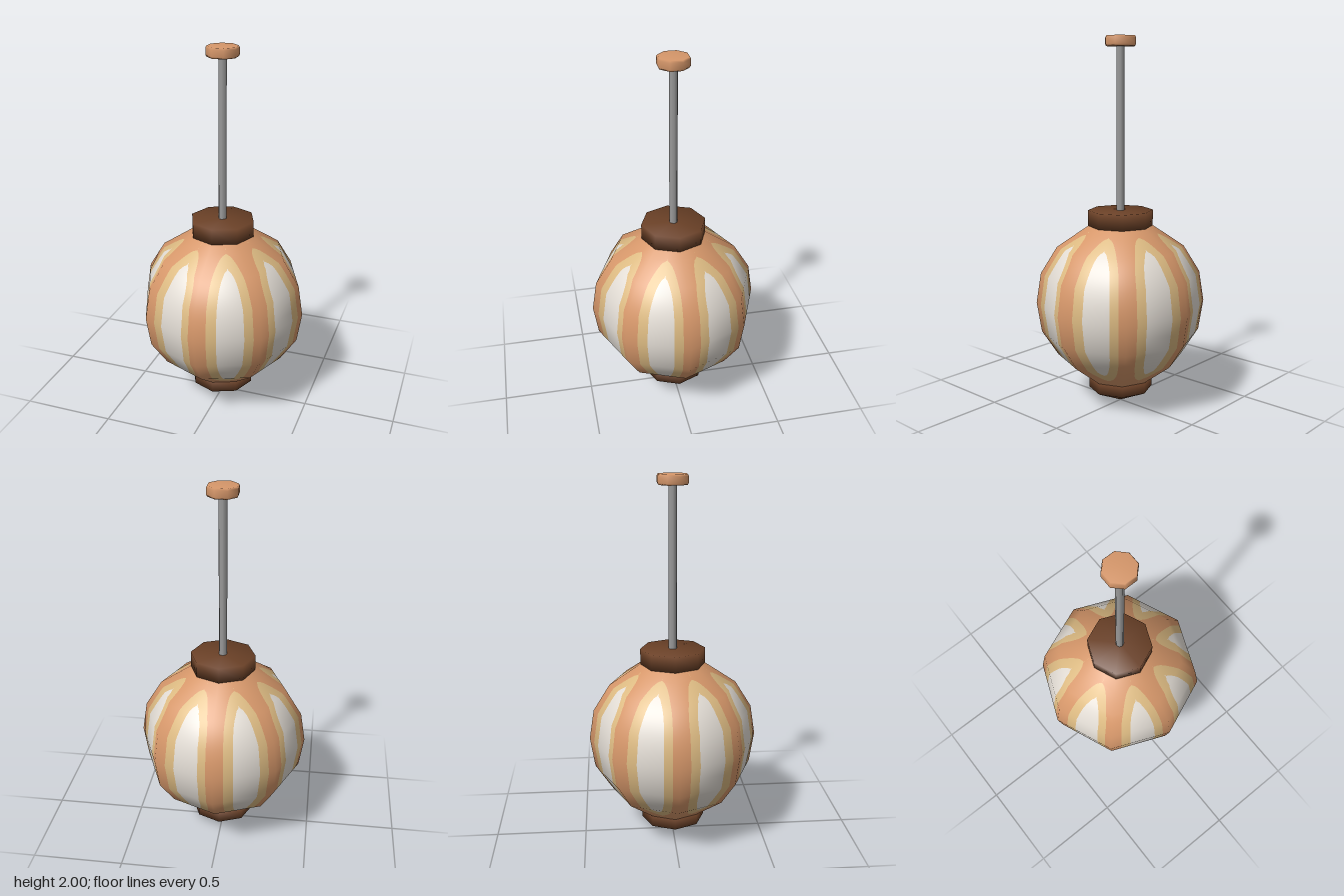
import * as THREE from 'three';

const SIDES = 8;
// globe outline, bottom to top: [radius, height]
const PROFILE = [[0.175, 0.145], [0.345, 0.275], [0.434, 0.41], [0.46, 0.575], [0.434, 0.74], [0.345, 0.885], [0.175, 1.0]];

function mat(name, color) {
  const m = new THREE.MeshStandardMaterial({ color });
  m.name = name;
  return m;
}

function turned(name, points, material, sides = SIDES) {
  const geo = new THREE.LatheGeometry(points.map(([r, y]) => new THREE.Vector2(r, y)), sides);
  const mesh = new THREE.Mesh(geo, material);
  mesh.name = name;
  return mesh;
}

// half width of a rounded panel at height y, as a share of the facet width
function halfWidth(y, max, reach, power) {
  const k = Math.min(1, Math.abs(y - 0.58) / reach);
  return max * Math.sqrt(1 - k ** power);
}

// fractions across a facet where the colours change
function breaks(y) {
  const outer = halfWidth(y, 0.355, 0.385, 6);
  const inner = halfWidth(y, 0.208, 0.33, 4);
  return [0, 0.535 - outer, 0.543 - inner, 0.543 + inner, 0.535 + outer, 1];
}

// rows down the globe with smooth outline normals
function globeRows() {
  const normals = PROFILE.map((p, i) => {
    const sum = new THREE.Vector2();
    for (const j of [i - 1, i]) {
      if (j < 0 || j + 1 >= PROFILE.length) continue;
      const [a, b] = [PROFILE[j], PROFILE[j + 1]];
      sum.add(new THREE.Vector2(b[1] - a[1], a[0] - b[0]).normalize());
    }
    return sum.normalize();
  });
  const rows = [];
  const steps = 14;
  for (let i = 0; i + 1 < PROFILE.length; i++) {
    for (let s = i ? 1 : 0; s <= steps; s++) {
      const t = s / steps;
      rows.push({
        r: THREE.MathUtils.lerp(PROFILE[i][0], PROFILE[i + 1][0], t),
        y: THREE.MathUtils.lerp(PROFILE[i][1], PROFILE[i + 1][1], t),
        n: normals[i].clone().lerp(normals[i + 1], t),
      });
    }
  }
  return rows;
}

// collects the strips of the globe that share one colour
function globePart(name, strips, material, rows) {
  const pos = [], nor = [], idx = [];
  for (let f = 0; f < SIDES; f++) {
    const a0 = (f / SIDES) * Math.PI * 2, a1 = ((f + 1) / SIDES) * Math.PI * 2;
    for (const strip of strips) {
      const base = pos.length / 3;
      rows.forEach(({ r, y, n }, i) => {
        const cuts = breaks(y);
        for (const t of [cuts[strip], cuts[strip + 1]]) {
          const sx = THREE.MathUtils.lerp(Math.sin(a0), Math.sin(a1), t);
          const cz = THREE.MathUtils.lerp(Math.cos(a0), Math.cos(a1), t);
          const v = new THREE.Vector3(sx * n.x, n.y, cz * n.x).normalize();
          pos.push(r * sx, y, r * cz);
          nor.push(v.x, v.y, v.z);
        }
        if (!i) return;
        const before = breaks(rows[i - 1].y);
        const k = base + (i - 1) * 2;
        if (before[strip + 1] - before[strip] > 1e-6) idx.push(k, k + 1, k + 2);
        if (cuts[strip + 1] - cuts[strip] > 1e-6) idx.push(k + 1, k + 3, k + 2);
      });
    }
  }
  const geo = new THREE.BufferGeometry();
  geo.setAttribute('position', new THREE.Float32BufferAttribute(pos, 3));
  geo.setAttribute('normal', new THREE.Float32BufferAttribute(nor, 3));
  geo.setIndex(idx);
  const mesh = new THREE.Mesh(geo, material);
  mesh.name = name;
  return mesh;
}

export function createModel() {
  const tan = mat('tan', 0xd6976a);
  const sand = mat('sand', 0xdcba82);
  const paper = mat('paper white', 0xe2dcd4);
  const brown = mat('dark brown', 0x6b4127);
  const grey = mat('grey metal', 0x9a9a9a);

  const model = new THREE.Group();
  model.name = 'hangingLantern';

  // paper globe with ribs, borders and panels
  const globe = new THREE.Group();
  globe.name = 'globe';
  const rows = globeRows();
  globe.add(
    globePart('ribs', [0, 4], tan, rows),
    globePart('panelBorders', [1, 3], sand, rows),
    globePart('panels', [2], paper, rows),
  );
  model.add(globe);

  // wooden collars
  model.add(turned('topCollar', [[0, 1.0], [0.175, 1.0], [0.175, 1.085], [0, 1.085]], brown));
  model.add(turned('bottomCollar', [[0, 0], [0.175, 0.083], [0.175, 0.148], [0, 0.148]], brown));

  // hanging rod and ceiling knob
  model.add(turned('rod', [[0.022, 1.07], [0.022, 1.96]], grey));
  const knob = turned('ceilingKnob', [[0, 1.947], [0.08, 1.947], [0.085, 1.957], [0.085, 1.99], [0.08, 2], [0, 2]], tan);
  knob.rotation.y = Math.PI / SIDES;
  model.add(knob);

  return model;
}
